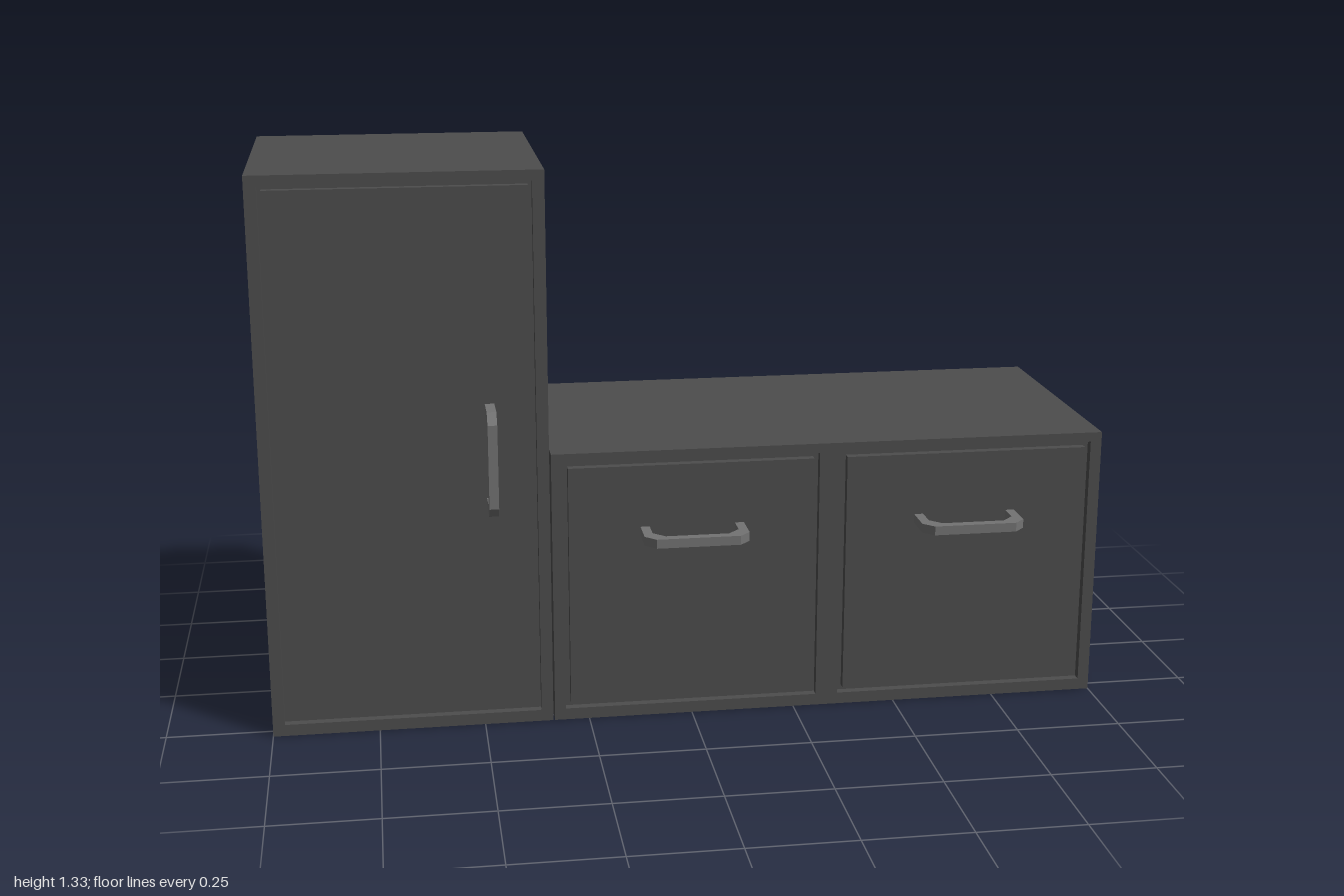
import * as THREE from 'three';

const cabinetMat = new THREE.MeshStandardMaterial({ color: 0x4d4d4d });
cabinetMat.name = 'charcoal';
const handleMat = new THREE.MeshStandardMaterial({ color: 0x737373 });
handleMat.name = 'handleGrey';

const BACK = -0.382, FRONT = 0.282, RECESS = 0.02;

function add(parent, name, geometry, material) {
  const mesh = new THREE.Mesh(geometry, material);
  mesh.name = name;
  parent.add(mesh);
  return mesh;
}

// Box given by its limits
function box(x0, x1, y0, y1, z0, z1) {
  return new THREE.BoxGeometry(x1 - x0, y1 - y0, z1 - z0)
    .translate((x0 + x1) / 2, (y0 + y1) / 2, (z0 + z1) / 2);
}

function rect(Type, x0, x1, y0, y1) {
  return new Type([[x0, y0], [x1, y0], [x1, y1], [x0, y1]].map(p => new THREE.Vector2(...p)));
}

// Carcass, front frame with openings, and panels set flush with a small gap
function cabinet(name, x0, x1, y1, openings, gap) {
  const group = new THREE.Group();
  group.name = name;
  add(group, 'carcass', box(x0, x1, 0, y1, BACK, FRONT - RECESS), cabinetMat);

  const frame = rect(THREE.Shape, x0, x1, 0, y1);
  for (const o of openings) frame.holes.push(rect(THREE.Path, ...o));
  const frameGeo = new THREE.ExtrudeGeometry(frame, { depth: RECESS, bevelEnabled: false });
  add(group, 'frontFrame', frameGeo.translate(0, 0, FRONT - RECESS), cabinetMat);

  for (const [a, b, c, d] of openings) {
    add(group, 'frontPanel',
      box(a + gap, b - gap, c + gap, d - gap, FRONT - RECESS, FRONT), cabinetMat);
  }
  return group;
}

// Bracket handle with chamfered corners
function handle(name, x, y, vertical) {
  const h = 0.124, t = 0.022, w = 0.022, out = 0.1;
  const half = [[h - t, 0], [h, 0], [h, out - 0.025], [h - 0.025, out]];
  const inner = [[h - t - 0.027, out - t], [h - t, out - t - 0.027]];
  const flip = pts => pts.map(([u, v]) => [-u, v]).reverse();
  const points = [...half, ...flip(half), ...flip(inner), ...inner];
  const shape = new THREE.Shape(points.map(p => new THREE.Vector2(...p)));
  const geo = new THREE.ExtrudeGeometry(shape, { depth: w, bevelEnabled: false });
  geo.translate(0, 0, -w / 2).rotateX(Math.PI / 2);
  if (vertical) geo.rotateZ(Math.PI / 2);
  const mesh = new THREE.Mesh(geo, handleMat);
  mesh.name = name;
  mesh.position.set(x, y, FRONT);
  return mesh;
}

export function createModel() {
  const model = new THREE.Group();
  model.name = 'kitchenCabinets';

  // Tall cupboard
  const tall = cabinet('tallCabinet', -1, -0.337, 1.33, [[-0.972, -0.365, 0.028, 1.305]], 0.009);
  tall.add(handle('doorHandle', -0.472, 0.669, true));

  // Low unit with two drawers
  const low = cabinet('lowCabinet', -0.333, 1, 0.665,
    [[-0.307, 0.306, 0.028, 0.642], [0.36, 0.973, 0.028, 0.642]], 0.013);
  for (const x of [0, 0.664]) low.add(handle('drawerHandle', x, 0.468, false));

  model.add(tall, low);
  return model;
}
